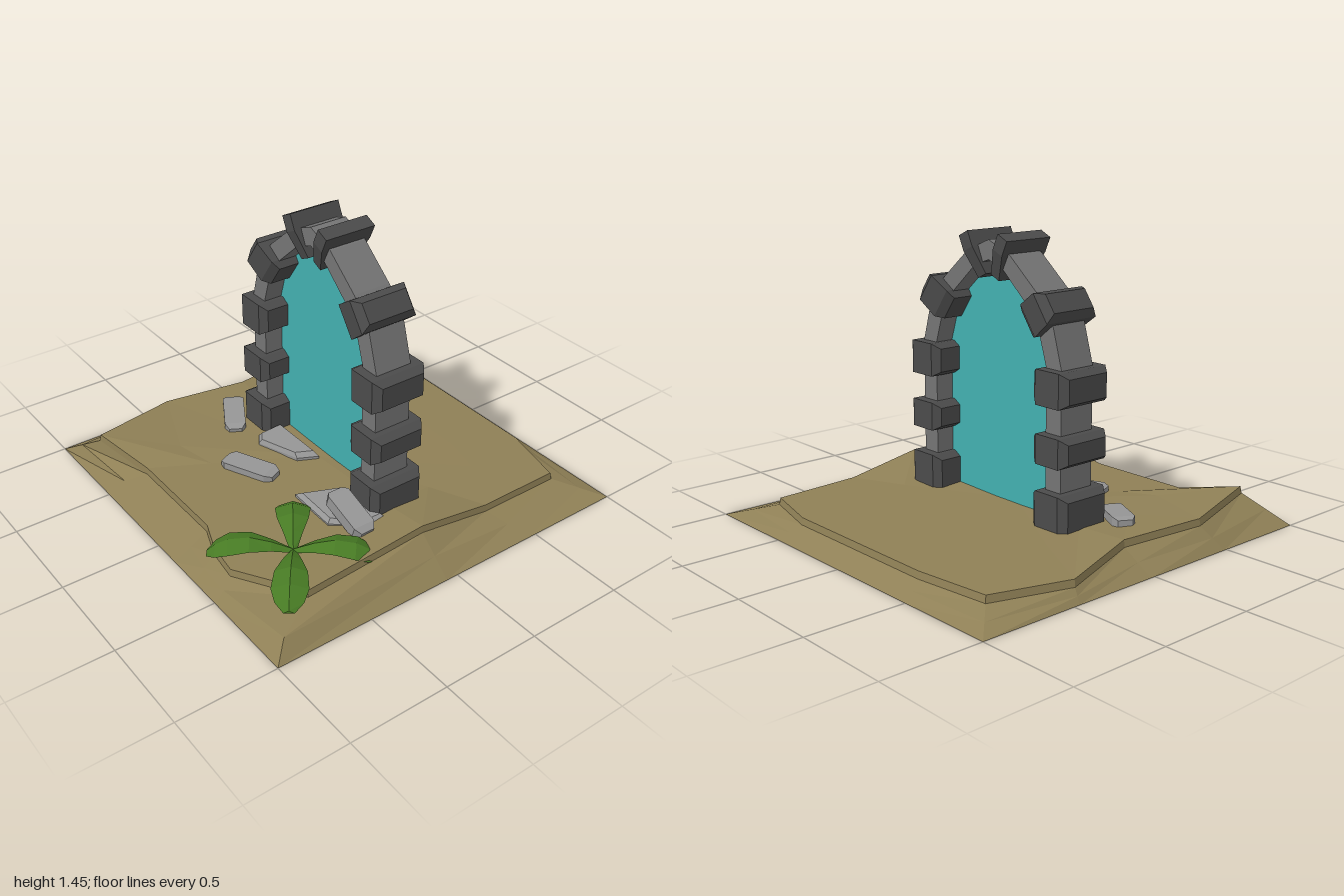
import * as THREE from 'three';

const mat = (color) => new THREE.MeshStandardMaterial({ color, flatShading: true, side: THREE.DoubleSide });
const V = (x, y, z) => new THREE.Vector3(x, y, z);

// Skin through rings of points (counterclockwise seen from the far end), capped at both ends
function loft(rings) {
  const out = [];
  const tri = (...pts) => pts.forEach((p) => out.push(p.x, p.y, p.z));
  const n = rings[0].length;
  for (let i = 0; i < rings.length - 1; i++) {
    for (let j = 0; j < n; j++) {
      const k = (j + 1) % n, a = rings[i], b = rings[i + 1];
      tri(a[j], a[k], b[k]);
      tri(a[j], b[k], b[j]);
    }
  }
  const first = rings[0], last = rings[rings.length - 1];
  const mid = (r) => r.reduce((s, p) => s.add(p), V(0, 0, 0)).divideScalar(n);
  for (let j = 0; j < n; j++) {
    const k = (j + 1) % n;
    tri(mid(first), first[k], first[j]);
    tri(mid(last), last[j], last[k]);
  }
  const g = new THREE.BufferGeometry();
  g.setAttribute('position', new THREE.Float32BufferAttribute(out, 3));
  g.computeVertexNormals();
  return g;
}

// Chiselled block along local x; each station is [x, half height, half depth]
const block = (stations) => loft(stations.map(([x, h, d]) =>
  [V(x, -h, -d), V(x, h, -d), V(x, h, d), V(x, -h, d)]));

// Flat slab with a bevelled upper edge from a plan outline [x, z]
function slab(outline, y0, y1) {
  const cx = outline.reduce((s, p) => s + p[0], 0) / outline.length;
  const cz = outline.reduce((s, p) => s + p[1], 0) / outline.length;
  const ring = (y, s) => outline.map(([x, z]) => V(cx + (x - cx) * s, y, cz + (z - cz) * s));
  return loft([ring(y0, 1), ring(y0 + (y1 - y0) * 0.6, 1), ring(y1, 0.85)]);
}

// Leaf running along +x, arched and folded on its midrib
function leaf(length) {
  const stations = [[0, 0.015, 0.13], [0.25, 0.045, 0.17], [0.5, 0.075, 0.195],
    [0.75, 0.085, 0.185], [0.9, 0.065, 0.155], [1, 0.025, 0.12]];
  return loft(stations.map(([t, w, y]) => {
    const x = t * length, fold = w * 0.25;
    return [V(x, y - fold - 0.008, -w), V(x, y, 0), V(x, y - fold - 0.008, w), V(x, y - 0.015, 0)];
  }));
}

// Sandy mound: square foot, slope, small ledge and a nearly flat top
function ground() {
  // [x, z, height], counterclockwise from above
  const rim = [
    [-0.82, -0.83, 0.09], [-0.94, -0.44, 0.09], [-0.83, -0.02, 0.13], [-0.89, 0.43, 0.14],
    [-0.77, 0.89, 0.17], [-0.45, 0.8, 0.105], [0.12, 0.8, 0.105], [0.28, 0.86, 0.105],
    [0.45, 0.88, 0.1], [0.8, 0.7, 0.13], [0.8, 0.05, 0.18], [0.79, -0.36, 0.11],
    [0.78, -0.81, 0.1], [0.45, -0.89, 0.1], [-0.45, -0.89, 0.1],
  ];
  const base = rim.map(([x, z]) => {
    if (Math.min(Math.abs(x), Math.abs(z)) > 0.65) return V(Math.sign(x), 0, Math.sign(z));
    const m = Math.max(Math.abs(x), Math.abs(z));
    return V(x / m, 0, z / m);
  });
  const foot = rim.map(([x, z, y]) => V(x * 1.006, y - 0.035, z * 1.006));
  const slope = foot.map((p, i) => {
    const q = p.clone().lerp(base[i], 0.5);
    // rounded shoulder in the front left corner
    return base[i].x === 1 && base[i].z === 1 ? V(0.93, 0.075, 0.92) : q;
  });
  const lip = rim.map(([x, z, y]) => V(x, y, z));
  const inner = rim.map(([x, z, y]) => V(x * 0.65, 0.108 + (y - 0.108) * 0.25, z * 0.65));
  return loft([base, slope, foot, lip, inner]);
}

export function createModel() {
  const model = new THREE.Group();
  const sand = mat(0x8f8056), archStone = mat(0x747474), darkStone = mat(0x4b4b4b);
  const rubble = mat(0x969696), green = mat(0x477a24), teal = mat(0x43b0b0);
  const add = (name, geometry, material, parent = model) => {
    const m = new THREE.Mesh(geometry, material);
    m.name = name;
    parent.add(m);
    return m;
  };

  add('ground', ground(), sand);

  // Pointed arch and the pane filling it
  const mirror = (half) => [...half, ...half.slice(0, -1).reverse().map(([x, y]) => [-x, y])]
    .map(([x, y]) => new THREE.Vector2(x, y));
  const outer = mirror([[-0.5, 0.09], [-0.5, 0.86], [-0.43, 1.1], [-0.33, 1.2], [-0.15, 1.35], [0, 1.41]]);
  const inner = mirror([[-0.4, 0.09], [-0.4, 0.86], [-0.34, 1.05], [-0.27, 1.13], [-0.1, 1.28], [0, 1.315]]);
  const archGeo = new THREE.ExtrudeGeometry(
    new THREE.Shape([...outer, ...inner.slice().reverse()]), { depth: 0.2, bevelEnabled: false });
  archGeo.translate(0, 0, -0.1);
  add('arch', archGeo, archStone);
  add('portalPane', new THREE.ShapeGeometry(new THREE.Shape(inner)), teal);

  // Dark blocks clasping the arch, mirrored on both sides
  const clasp = (h) => block([[-0.115, h - 0.025, 0.12], [-0.075, h, 0.15],
    [0.075, h, 0.15], [0.115, h - 0.025, 0.12]]);
  const shoulder = block([[-0.1, 0.068, 0.11], [-0.06, 0.085, 0.14], [0.06, 0.08, 0.155], [0.1, 0.05, 0.125]]);
  const wedge = block([[-0.11, 0.03, 0.1], [0.03, 0.035, 0.138], [0.11, 0.035, 0.138]]);
  for (const side of [1, -1]) {
    const place = (name, geometry, x, y, angle) => {
      const m = add(name, geometry, darkStone);
      m.position.set(side * x, y, 0);
      m.rotation.z = side > 0 ? angle : Math.PI - angle;
    };
    place('footBlock', clasp(0.1), 0.457, 0.18, 0);
    place('lowerBlock', clasp(0.072), 0.457, 0.482, 0);
    place('upperBlock', clasp(0.084), 0.457, 0.775, 0);
    place('shoulderBlock', shoulder, 0.365, 1.105, 0.62);
    place('crownBlock', wedge, 0.093, 1.333, 1.13);
  }

  // Fallen stones: plan outlines counterclockwise from above
  const stones = new THREE.Group();
  stones.name = 'fallenStones';
  model.add(stones);
  add('slabUnderArch', slab([[-0.35, 0.06], [-0.34, 0.2], [-0.28, 0.24], [-0.05, 0.16], [0, 0.06]], 0.09, 0.148),
    rubble, stones);
  add('slabByPillar', slab([[0.28, 0.13], [0.19, 0.34], [0.47, 0.35], [0.6, 0.2], [0.6, 0.1]], 0.09, 0.145),
    rubble, stones);
  const chunk = (name, length, w, h, pos, yaw, tilt) => {
    const l = length / 2;
    const m = add(name, block([[-l, h * 0.6, w * 0.65], [-l * 0.8, h, w], [l * 0.75, h, w], [l, h * 0.6, w * 0.6]]),
      rubble, stones);
    m.rotation.set(0, yaw, tilt);
    m.position.set(...pos);
  };
  chunk('sideStone', 0.29, 0.055, 0.03, [-0.575, 0.125, 0.2], -0.52, -0.06);
  chunk('frontStone', 0.3, 0.058, 0.025, [-0.13, 0.118, 0.39], 0.42, 0);
  chunk('leaningStone', 0.27, 0.058, 0.032, [0.52, 0.175, 0.255], 0, -0.32);

  // Four-leaved plant
  const plant = new THREE.Group();
  plant.name = 'plant';
  plant.position.set(0.53, 0, 0.59);
  model.add(plant);
  for (const [dx, dz] of [[-0.29, -0.2], [0.25, -0.28], [0.31, 0.24], [-0.23, 0.31]]) {
    add('leaf', leaf(Math.hypot(dx, dz) * 1.03), green, plant).rotation.y = Math.atan2(-dz, dx);
  }
  return model;
}
